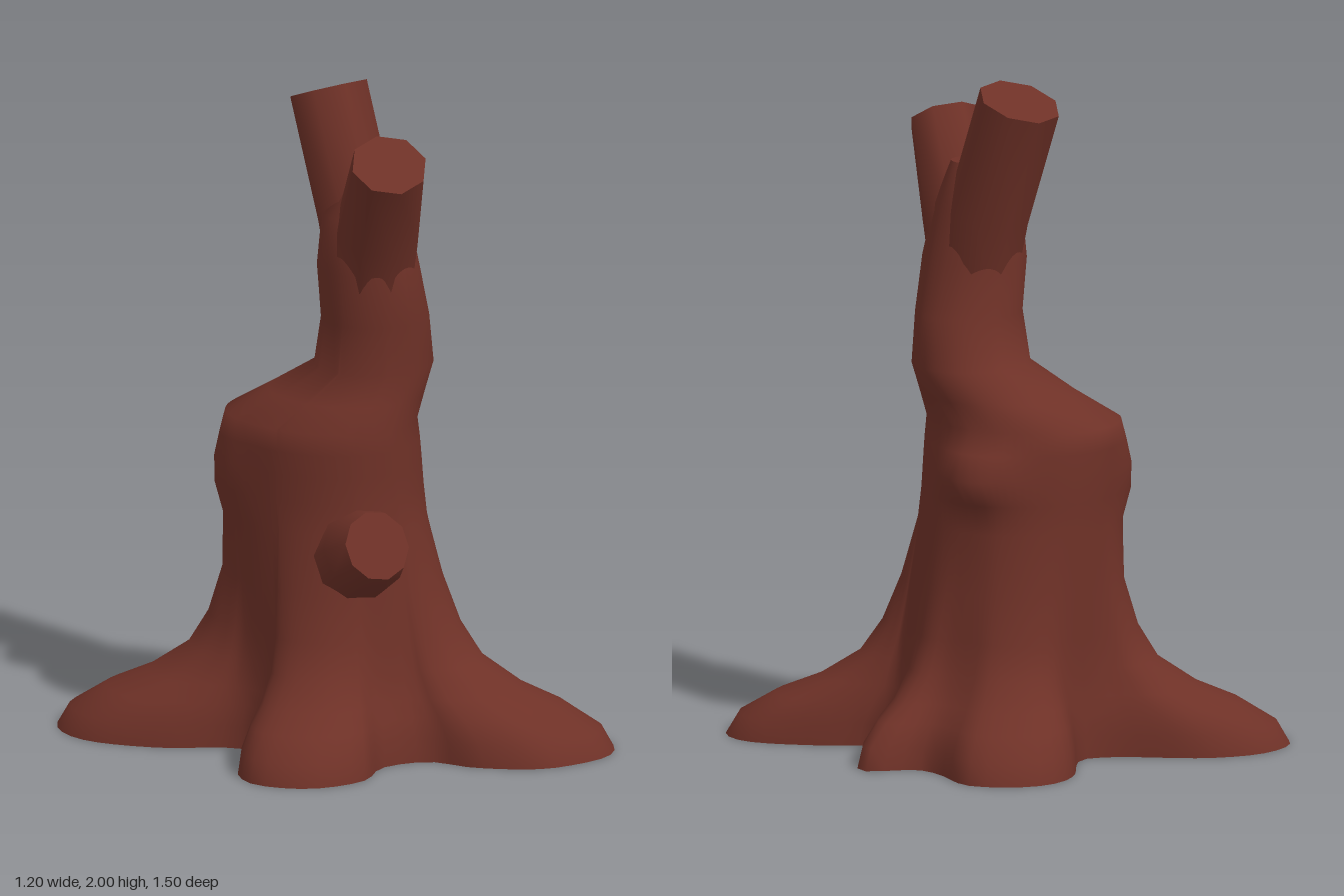
import * as THREE from 'three';

const bark = new THREE.MeshStandardMaterial({ color: 0x6e3127 });
bark.name = 'bark';

// Smooth skin through equal loops of points, each counterclockwise seen from the end
function loft(loops) {
  const n = loops[0].length, pos = [], idx = [];
  loops.forEach(l => l.forEach(p => pos.push(p.x, p.y, p.z)));
  for (let j = 0; j < loops.length - 1; j++) {
    for (let i = 0; i < n; i++) {
      const a = j * n + i, b = j * n + (i + 1) % n;
      idx.push(a, b, a + n, b, b + n, a + n);
    }
  }
  // Flat caps with their own vertices keep the cut edges sharp
  const cap = (loop, flip) => {
    const start = pos.length / 3, c = new THREE.Vector3();
    loop.forEach(p => { c.add(p); pos.push(p.x, p.y, p.z); });
    c.divideScalar(n);
    pos.push(c.x, c.y, c.z);
    for (let i = 0; i < n; i++) {
      const a = start + i, b = start + (i + 1) % n;
      if (flip) idx.push(start + n, b, a);
      else idx.push(start + n, a, b);
    }
  };
  cap(loops[0], true);
  cap(loops[loops.length - 1], false);
  const g = new THREE.BufferGeometry();
  g.setAttribute('position', new THREE.Float32BufferAttribute(pos, 3));
  g.setIndex(idx);
  g.computeVertexNormals();
  return g;
}

// Limb with a cut end; each ring is [x, y, z, radius]
function limb(name, rings, sides) {
  const pts = rings.map(r => new THREE.Vector3(r[0], r[1], r[2]));
  const loops = rings.map((r, k) => {
    const d = pts[Math.min(k + 1, pts.length - 1)].clone().sub(pts[Math.max(k - 1, 0)]).normalize();
    const u = new THREE.Vector3(1, 0, 0).addScaledVector(d, -d.x).normalize();
    const v = d.clone().cross(u);
    return Array.from({ length: sides }, (_, i) => {
      const a = (i + 0.5) / sides * Math.PI * 2;
      return pts[k].clone().addScaledVector(u, r[3] * Math.cos(a)).addScaledVector(v, r[3] * Math.sin(a));
    });
  });
  const m = new THREE.Mesh(loft(loops), bark);
  m.name = name;
  return m;
}

// Ground outline of the five roots, as [x, z]
const rootOutline = [
  [-0.31, -0.75], [-0.46, -0.735], [-0.545, -0.64], [-0.565, -0.52], [-0.48, -0.31], [-0.34, -0.15], [-0.33, -0.05],
  [-0.41, 0], [-0.52, 0.03], [-0.6, 0.15], [-0.57, 0.27], [-0.5, 0.345], [-0.35, 0.385], [-0.21, 0.33],
  [-0.07, 0.39], [-0.03, 0.53], [0.09, 0.69], [0.2, 0.735], [0.33, 0.745], [0.43, 0.68], [0.46, 0.58],
  [0.38, 0.38], [0.3, 0.26], [0.33, 0.175], [0.5, 0.14], [0.6, 0.06], [0.49, -0.07], [0.51, -0.16],
  [0.585, -0.31], [0.55, -0.41], [0.47, -0.49], [0.38, -0.51], [0.29, -0.49], [0.08, -0.37], [0, -0.42], [-0.16, -0.66]
];

// Trunk rings: [height, min x, max x, min z, max z, root spread]
const trunkRings = [
  [0, -0.28, 0.28, -0.35, 0.27, 1],
  [0.065, -0.28, 0.28, -0.35, 0.27, 0.93],
  [0.13, -0.28, 0.28, -0.35, 0.27, 0.73],
  [0.18, -0.28, 0.28, -0.35, 0.27, 0.5],
  [0.26, -0.28, 0.28, -0.35, 0.27, 0.27],
  [0.36, -0.28, 0.28, -0.355, 0.265, 0.15],
  [0.5, -0.28, 0.28, -0.36, 0.255, 0.06],
  [0.68, -0.275, 0.265, -0.36, 0.24, 0],
  [0.77, -0.275, 0.26, -0.365, 0.23, 0],
  [0.85, -0.275, 0.25, -0.37, 0.23, 0],
  [0.92, -0.275, 0.24, -0.37, 0.23, 0],
  [0.985, -0.27, 0.225, -0.37, 0.23, 0],
  [1.06, -0.2, 0.23, -0.25, 0.23, 0],
  [1.15, -0.13, 0.235, -0.11, 0.235, 0],
  [1.3, -0.135, 0.2, -0.07, 0.24, 0],
  [1.46, -0.14, 0.14, -0.075, 0.25, 0],
  [1.62, -0.12, 0.12, -0.06, 0.21, 0],
  [1.75, -0.04, 0.07, 0.04, 0.15, 0]
];

// Swellings on the trunk: [angle, height, angular width, vertical width, size]
const swellings = [
  [Math.atan2(-0.23, -0.25), 0.8, 0.4, 0.17, 0.055], // broken back shoulder
  [-0.1, 0.85, 0.4, 0.07, 0.085] // side burl
];

function makeTrunk() {
  const curve = new THREE.CatmullRomCurve3(rootOutline.map(p => new THREE.Vector3(p[0], 0, p[1])), true);
  const base = curve.getSpacedPoints(96).slice(0, 96);
  const loops = trunkRings.map(([y, x0, x1, z0, z1, spread]) => {
    const cx = (x0 + x1) / 2, cz = (z0 + z1) / 2;
    return base.map(p => {
      const a = Math.atan2(p.z + 0.04, p.x);
      let k = 0;
      for (const [ang, h, wa, wy, size] of swellings) {
        const da = Math.atan2(Math.sin(a - ang), Math.cos(a - ang));
        k += size * Math.exp(-((da / wa) ** 2) - ((y - h) / wy) ** 2);
      }
      const t = new THREE.Vector3(
        cx + ((x1 - x0) / 2 + k) * Math.cos(a), y, cz + ((z1 - z0) / 2 + k) * Math.sin(a));
      return t.lerp(new THREE.Vector3(p.x, y, p.z), spread);
    });
  });
  const m = new THREE.Mesh(loft(loops), bark);
  m.name = 'trunkAndRoots';
  return m;
}

export function createModel() {
  const tree = new THREE.Group();
  tree.name = 'treeStump';
  tree.add(
    makeTrunk(),
    // Forked top with sawn ends
    limb('frontBranch', [[0, 1.32, 0.1, 0.115], [-0.025, 1.58, 0.145, 0.13], [-0.13, 1.83, 0.285, 0.115]], 8),
    limb('backBranch', [[0.02, 1.32, 0.07, 0.11], [0.025, 1.6, 0.02, 0.125], [0.05, 1.957, -0.115, 0.125]], 8),
    // Stub of a lost branch on the front
    limb('frontKnot', [[-0.1, 0.56, 0.08, 0.14], [-0.145, 0.63, 0.2, 0.135], [-0.172, 0.665, 0.275, 0.105]], 10)
  );
  return tree;
}
